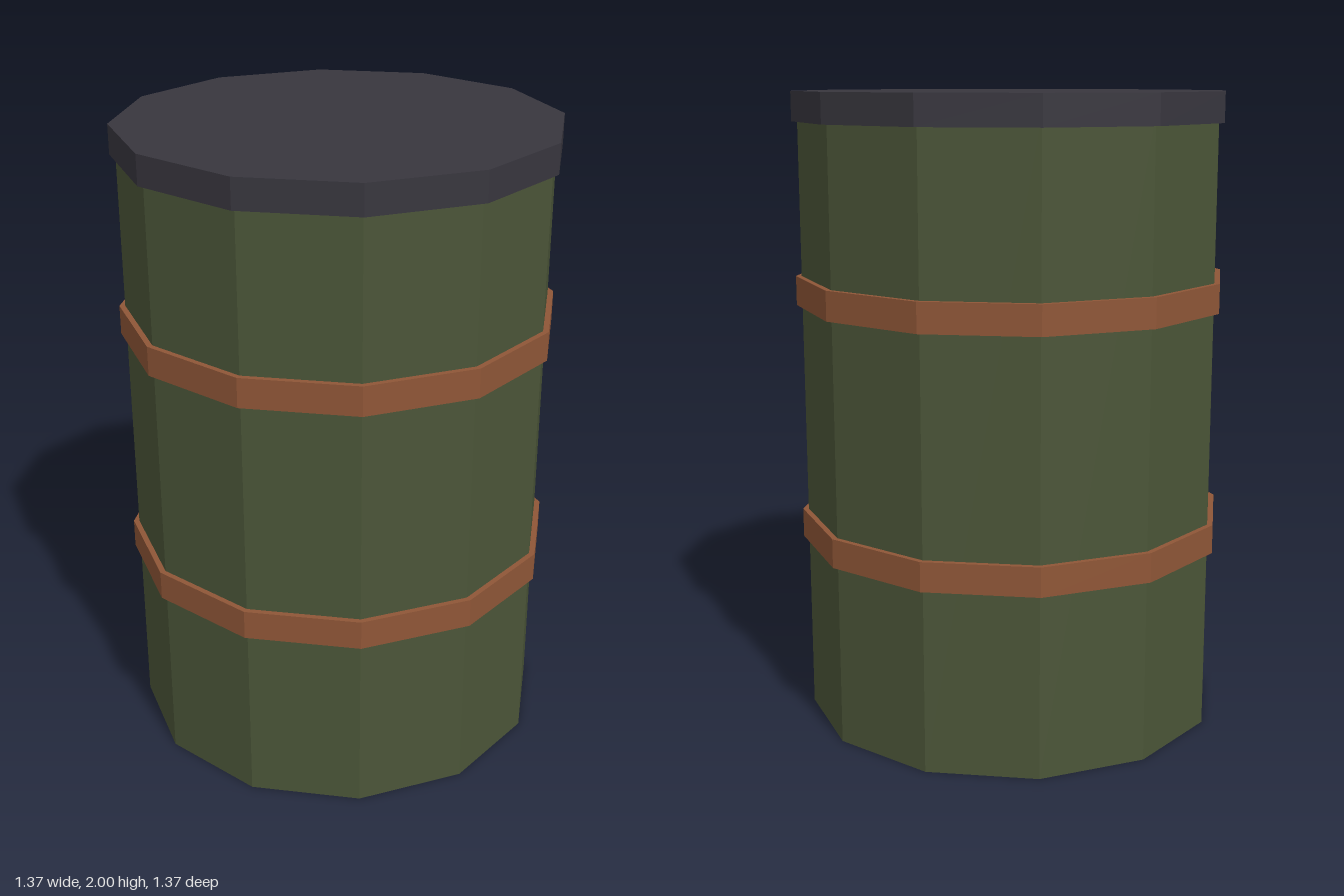
import * as THREE from 'three';

const SIDES = 12;

export function createModel() {
  const model = new THREE.Group();
  model.name = 'barrel';

  const material = (name, color) => {
    const m = new THREE.MeshStandardMaterial({ color, flatShading: true });
    m.name = name;
    return m;
  };
  const olive = material('olive green', 0x4b5538);
  const rust = material('rust brown', 0x8f5637);
  const charcoal = material('charcoal', 0x38363e);

  // Twelve-sided drum section between two heights
  const addDrum = (name, radius, bottom, top, mat) => {
    const geometry = new THREE.CylinderGeometry(radius, radius, top - bottom, SIDES);
    const mesh = new THREE.Mesh(geometry, mat);
    mesh.name = name;
    mesh.position.y = (bottom + top) / 2;
    model.add(mesh);
  };

  addDrum('body', 0.667, 0, 1.95, olive);
  addDrum('lowerHoop', 0.685, 0.575, 0.667, rust);
  addDrum('upperHoop', 0.685, 1.337, 1.429, rust);
  addDrum('lid', 0.685, 1.908, 2, charcoal);

  return model;
}
